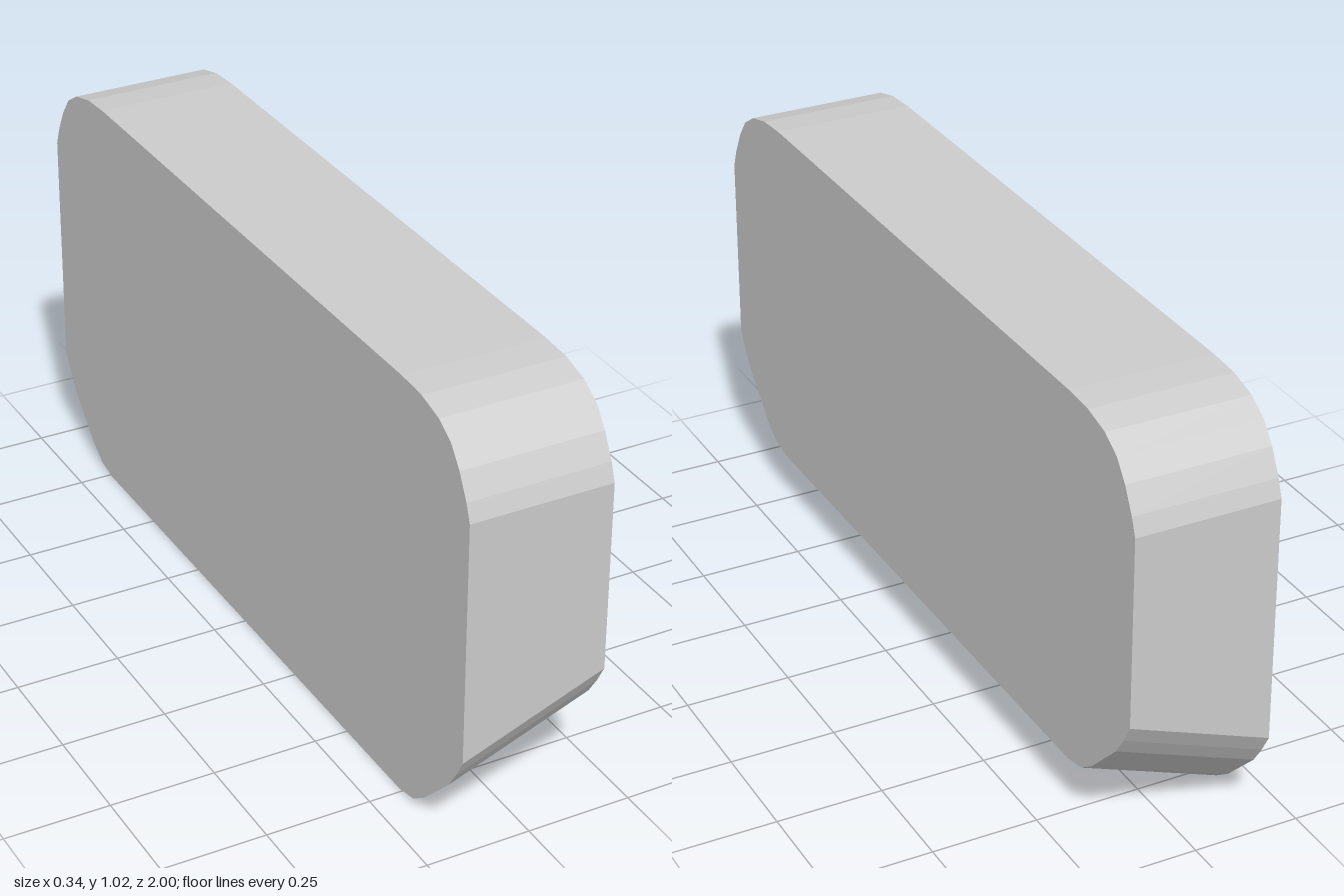
import * as THREE from 'three';

export function createModel() {
  const group = new THREE.Group();
  const width = 0.34;
  const drop = 0.13; // how much lower the underside is on the -x face

  // Half outline (z, y), from the bottom round to the top
  const half = [
    [0.74, 0.13], [0.8, 0.143], [0.845, 0.175], [0.945, 0.275], [0.975, 0.32], [1, 0.365],
    [1, 0.82], [0.985, 0.862], [0.955, 0.92], [0.92, 0.966], [0.87, 0.997], [0.8, 1.015], [0.72, 1.02],
  ].map(([z, y]) => new THREE.Vector2(z, y));
  const mirrored = half.map((p) => new THREE.Vector2(-p.x, p.y)).reverse();

  const geometry = new THREE.ExtrudeGeometry(new THREE.Shape([...half, ...mirrored]), {
    depth: width,
    bevelEnabled: false,
  });
  geometry.translate(0, 0, -width / 2);
  geometry.rotateY(Math.PI / 2);

  // Slope the underside down towards -x
  const pos = geometry.attributes.position;
  for (let i = 0; i < pos.count; i++) {
    if (pos.getY(i) < 0.5 && pos.getX(i) < 0) pos.setY(i, pos.getY(i) - drop);
  }
  geometry.computeVertexNormals();

  const slab = new THREE.Mesh(
    geometry,
    new THREE.MeshStandardMaterial({ color: 0xcccccc, flatShading: true })
  );
  slab.name = 'roundedSlab';
  group.add(slab);
  return group;
}
